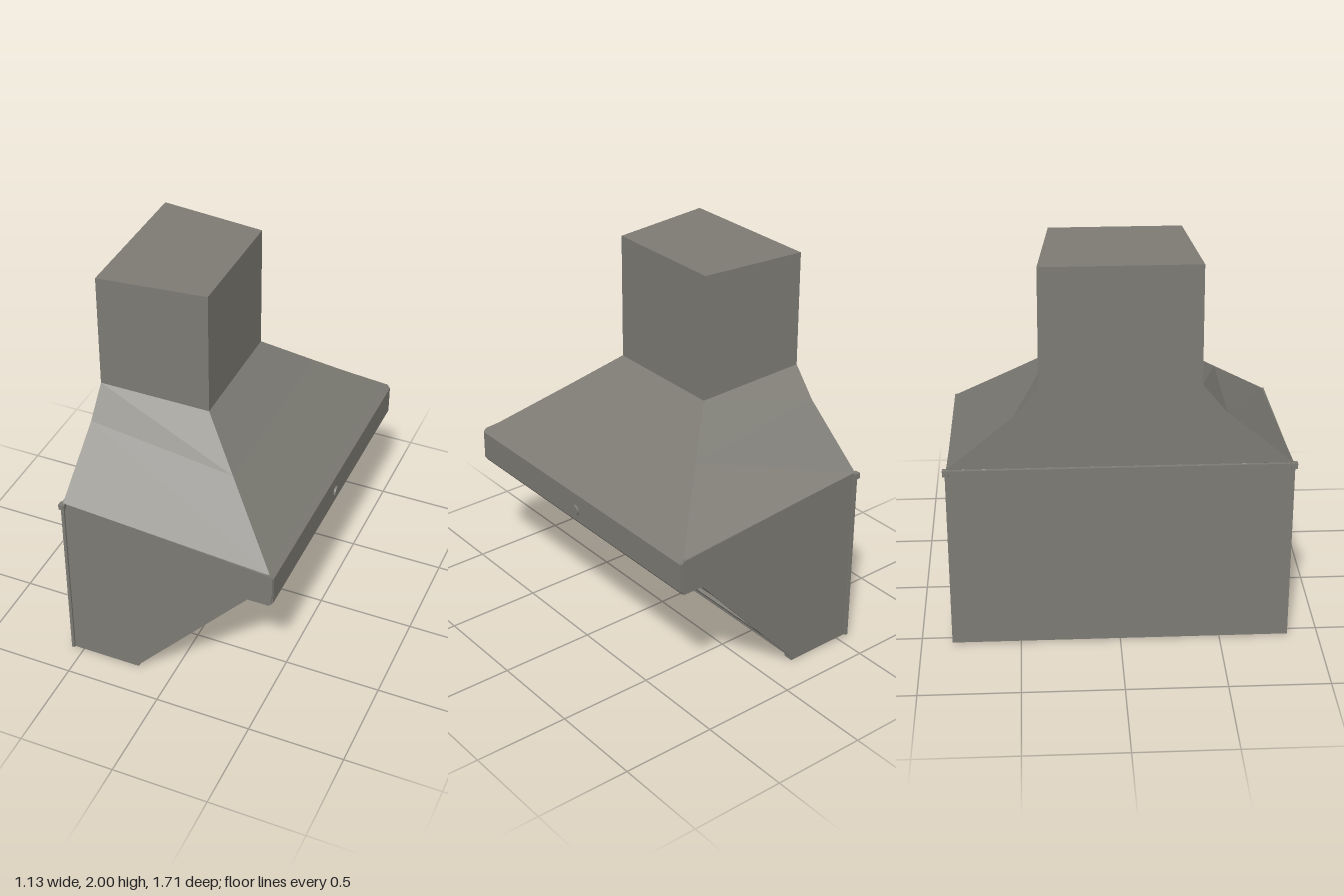
import * as THREE from 'three';

const steel = new THREE.MeshStandardMaterial({ name: 'warm grey steel', color: 0x7d7b74 });
const dark = new THREE.MeshStandardMaterial({ name: 'dark vent interior', color: 0x302c2a });

function add(parent, name, geometry, material = steel, x = 0, y = 0, z = 0) {
  const mesh = new THREE.Mesh(geometry, material);
  mesh.name = name;
  mesh.position.set(x, y, z);
  parent.add(mesh);
  return mesh;
}

const box = (x, y, z) => new THREE.BoxGeometry(x, y, z);

// Extrudes a side profile (x, y) across z from z0 to z1
function profile(points, z0, z1) {
  const shape = new THREE.Shape(points.map(([x, y]) => new THREE.Vector2(x, y)));
  return new THREE.ExtrudeGeometry(shape, { depth: z1 - z0, bevelEnabled: false }).translate(0, 0, z0);
}

// Lofts mirrored four-cornered sections, listed from top to bottom
function loft(rows) {
  const rings = rows.map(({ front: [fx, fy, fz], back: [bx, by, bz] }) => [
    [fx, fy, fz], [fx, fy, -fz], [bx, by, -bz], [bx, by, bz],
  ]);
  const out = [];
  const quad = (a, b, c, d) => out.push(...a, ...b, ...c, ...a, ...c, ...d);
  const [a, b, c, d] = rings[0];
  quad(a, b, c, d);
  for (let r = 0; r < rings.length - 1; r++) {
    for (let i = 0; i < 4; i++) {
      const j = (i + 1) % 4;
      quad(rings[r][i], rings[r + 1][i], rings[r + 1][j], rings[r][j]);
    }
  }
  const g = new THREE.BufferGeometry();
  g.setAttribute('position', new THREE.Float32BufferAttribute(out, 3));
  g.computeVertexNormals();
  return g;
}

// Flat ring between two rectangles given as [halfWidth, bottom, top]
function ring([w, b, t], [iw, ib, it], depth) {
  const shape = new THREE.Shape([
    new THREE.Vector2(-w, b), new THREE.Vector2(w, b), new THREE.Vector2(w, t), new THREE.Vector2(-w, t),
  ]);
  shape.holes.push(new THREE.Path([
    new THREE.Vector2(-iw, ib), new THREE.Vector2(-iw, it), new THREE.Vector2(iw, it), new THREE.Vector2(iw, ib),
  ]));
  return new THREE.ExtrudeGeometry(shape, { depth, bevelEnabled: false });
}

export function createModel() {
  const hood = new THREE.Group();
  hood.name = 'rangeHood';

  // Chimney and flared canopy
  add(hood, 'chimney', loft([
    { front: [0, 2, 0.325], back: [-0.55, 2, 0.385] },
    { front: [0, 1.345, 0.325], back: [-0.55, 1.4, 0.388] },
  ]));
  add(hood, 'canopy', loft([
    { front: [0, 1.345, 0.325], back: [-0.55, 1.4, 0.388] },
    { front: [0.212, 1.16, 0.525], back: [-0.55, 1.25, 0.51] },
    { front: [0.53, 0.885, 0.825], back: [-0.55, 0.978, 0.838] },
  ]));

  // Side panels
  const side = [[-0.55, 0.01], [-0.19, 0.01], [0.42, 0.7], [0.53, 0.7], [0.545, 0.72], [0.545, 0.87], [0.53, 0.885], [-0.55, 0.978]];
  add(hood, 'leftSidePanel', profile(side, 0.805, 0.835));
  add(hood, 'rightSidePanel', profile(side, -0.835, -0.805));

  // Back plate with narrow flanges, and the underside
  add(hood, 'backPlate', box(0.016, 0.965, 1.69), steel, -0.553, 0.4925, 0);
  add(hood, 'bottomPlate', box(0.36, 0.02, 1.62), steel, -0.37, 0.02, 0);
  for (const s of [-1, 1]) {
    add(hood, 'mountingTab', box(0.03, 0.03, 0.03), steel, -0.552, 0.963, s * 0.842);
    add(hood, 'cornerFoot', box(0.04, 0.04, 0.05), steel, -0.205, 0.02, s * 0.8);
  }

  // Front apron with its button
  add(hood, 'apron', profile(
    [[0.41, 0.7], [0.535, 0.7], [0.55, 0.72], [0.55, 0.87], [0.53, 0.887], [0.41, 0.887]], -0.828, 0.828));
  add(hood, 'button', new THREE.CylinderGeometry(0.028, 0.028, 0.012, 16).rotateZ(Math.PI / 2), steel, 0.555, 0.78, 0);

  // Sloping filter assembly: local y runs up the slope, local z points outward
  const filter = new THREE.Group();
  filter.name = 'filter';
  const up = new THREE.Vector3(0.61, 0.69, 0).normalize();
  const outward = new THREE.Vector3(up.y, -up.x, 0);
  filter.quaternion.setFromRotationMatrix(
    new THREE.Matrix4().makeBasis(new THREE.Vector3(0, 0, -1), up, outward));
  filter.position.set(-0.19, 0.01, 0);
  hood.add(filter);

  add(filter, 'filterSurround', ring([0.81, 0, 0.92], [0.73, 0.107, 0.895], 0.05), steel, 0, 0, -0.06);
  add(filter, 'filterFrame', ring([0.74, 0.1, 0.905], [0.63, 0.2, 0.76], 0.07), steel, 0, 0, -0.1);
  add(filter, 'filterBacking', box(1.3, 0.6, 0.01), dark, 0, 0.48, -0.1);

  // Wide louvres on both sides, thin grille bars in the middle
  for (const s of [-1, 1]) {
    for (let i = 0; i < 5; i++) {
      const slat = add(filter, 'louvre', box(0.052, 0.56, 0.012), steel, s * (0.2 + i * 0.095), 0.48, -0.06);
      slat.rotation.y = s * 0.35;
    }
  }
  for (let i = -2; i <= 2; i++) {
    add(filter, 'grilleBar', box(0.022, 0.56, 0.022), steel, i * 0.072, 0.48, -0.045);
  }
  for (const y of [0.4, 0.574]) {
    add(filter, 'grilleCrossbar', box(0.29, 0.016, 0.016), steel, 0, y, -0.05);
  }

  return hood;
}
